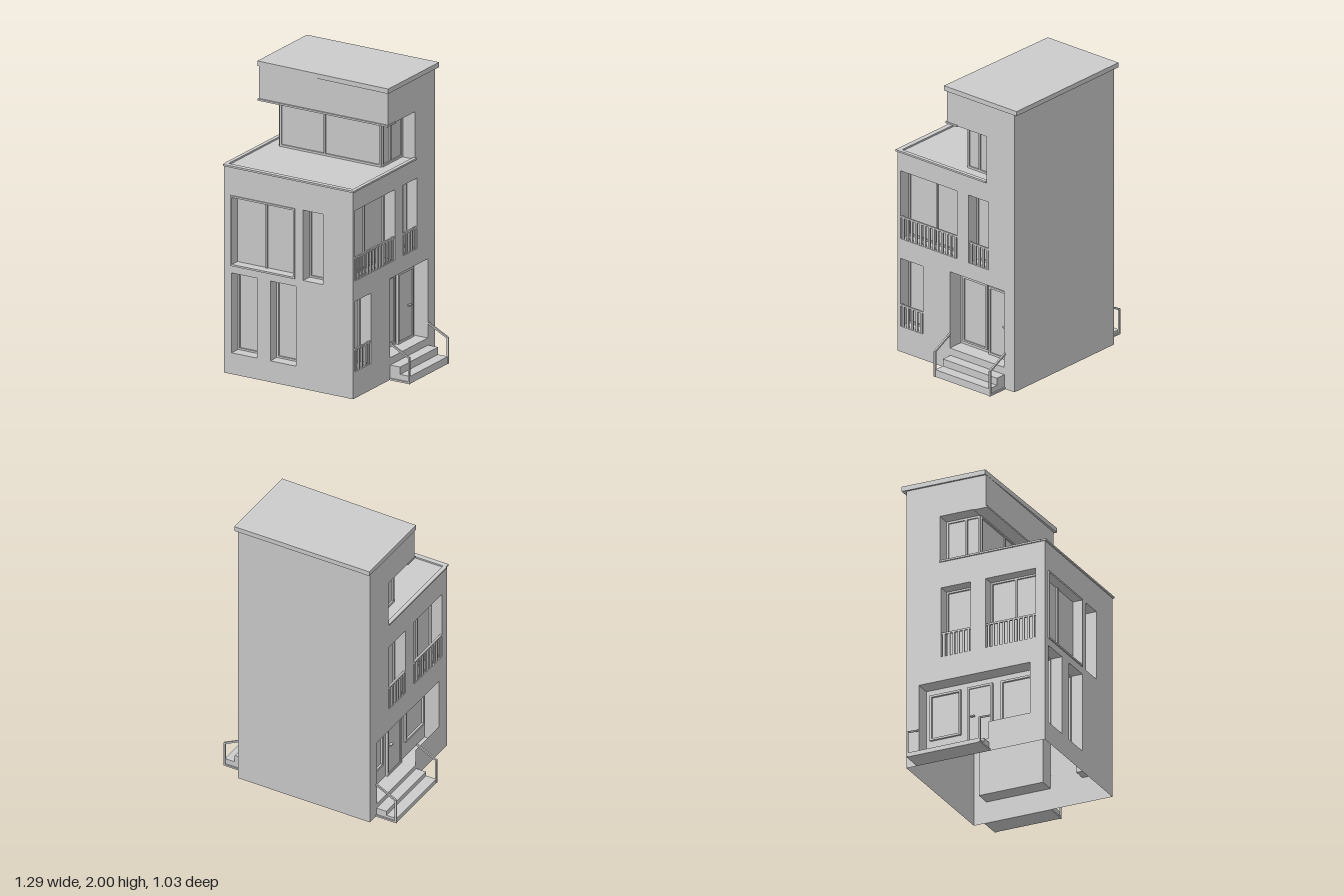
import * as THREE from 'three';

const mat = new THREE.MeshStandardMaterial({ color: 0xcccccc, side: THREE.DoubleSide });

function add(parent, name, geo) {
  const m = new THREE.Mesh(geo, mat);
  m.name = name;
  parent.add(m);
  return m;
}

// Box given by its limits on each axis
function box(parent, name, x0, x1, y0, y1, z0, z1) {
  const m = add(parent, name, new THREE.BoxGeometry(Math.abs(x1 - x0), y1 - y0, Math.abs(z1 - z0)));
  m.position.set((x0 + x1) / 2, (y0 + y1) / 2, (z0 + z1) / 2);
  return m;
}

function bar(parent, name, a, b, r) {
  const A = new THREE.Vector3(...a), B = new THREE.Vector3(...b);
  const m = add(parent, name, new THREE.BoxGeometry(r, A.distanceTo(B), r));
  m.position.copy(A).add(B).multiplyScalar(0.5);
  m.quaternion.setFromUnitVectors(new THREE.Vector3(0, 1, 0), B.sub(A).normalize());
}

const toPoints = pts => pts.map(p => new THREE.Vector2(...p));
const rect = (a, b, c, d) => [[a, c], [b, c], [b, d], [a, d]];

// Flat wall with openings, facing local +z
function wall(parent, name, outline, holes) {
  const s = new THREE.Shape(toPoints(outline));
  holes.forEach(h => s.holes.push(new THREE.Path(toPoints(h))));
  const g = new THREE.Group();
  g.name = name;
  add(g, name + 'Face', new THREE.ShapeGeometry(s));
  parent.add(g);
  return g;
}

// Box open to the front: jambs and back of an opening
function recess(parent, name, u0, u1, v0, v1, d) {
  const m = box(parent, name, u0, u1, v0, v1, -d, 0);
  const idx = Array.from(m.geometry.index.array);
  m.geometry.setIndex(idx.filter((_, i) => i < 24 || i >= 30));
  m.geometry.clearGroups();
}

function frame(parent, name, u0, u1, v0, v1, w, z0, z1) {
  box(parent, name, u0, u0 + w, v0, v1, z0, z1);
  box(parent, name, u1 - w, u1, v0, v1, z0, z1);
  box(parent, name, u0 + w, u1 - w, v0, v0 + w, z0, z1);
  box(parent, name, u0 + w, u1 - w, v1 - w, v1, z0, z1);
}

function windowUnit(parent, [u0, u1, v0, v1], { d = 0.09, rail = 0, mullion } = {}) {
  recess(parent, 'windowRecess', u0, u1, v0, v1, d);
  frame(parent, 'windowFrame', u0, u1, v0, v1, 0.012, -d, -d + 0.012);
  if (mullion !== undefined) box(parent, 'mullion', mullion - 0.006, mullion + 0.006, v0, v1, -d, -d + 0.012);
  if (rail) {
    box(parent, 'handrail', u0, u1, v0 + rail - 0.012, v0 + rail, -0.014, -0.002);
    const n = Math.round((u1 - u0) / 0.037);
    for (let i = 0; i < n; i++) {
      const u = u0 + (u1 - u0) * (i + 0.5) / n;
      box(parent, 'baluster', u - 0.008, u + 0.008, v0, v0 + rail - 0.012, -0.013, -0.003);
    }
  }
}

// Door leaf with a raised edge and a handle
function door(parent, u0, u1, v0, v1, z, handleU) {
  box(parent, 'door', u0, u1, v0, v1, z, z + 0.01);
  frame(parent, 'doorFrame', u0, u1, v0, v1, 0.014, z, z + 0.018);
  box(parent, 'doorHandle', handleU - 0.015, handleU + 0.015, v0 + 0.225, v0 + 0.233, z + 0.01, z + 0.028);
}

// Two steps and a railing on each end
function stairs(parent, s, rise, z0, z1) {
  const g = new THREE.Group();
  g.name = s > 0 ? 'leftStairs' : 'rightStairs';
  parent.add(g);
  box(g, 'lowerStep', s * 0.49, s * 0.64, 0, rise, z0, z1);
  box(g, 'upperStep', s * 0.49, s * 0.565, rise, 2 * rise, z0, z1);
  for (const z of [z0 - 0.004, z1 + 0.004]) {
    bar(g, 'railPost', [s * 0.638, 0, z], [s * 0.638, 0.178, z], 0.012);
    bar(g, 'slopingRail', [s * 0.64, 0.175, z], [s * 0.49, 0.25, z], 0.012);
    bar(g, 'bottomRail', [s * 0.49, 0.006, z], [s * 0.644, 0.006, z], 0.012);
  }
}

export function createModel() {
  const house = new THREE.Group();
  house.name = 'house';

  // Front wall: one wide framed window and three narrow ones
  const wide = [-0.44, 0.05, 0.74, 1.22];
  const narrow = [[0.11, 0.26, 0.74, 1.22], [-0.435, -0.24, 0.145, 0.69], [-0.14, 0.055, 0.145, 0.69]];
  const front = wall(house, 'frontWall', rect(-0.49, 0.49, 0, 1.42), [wide, ...narrow].map(r => rect(...r)));
  front.position.z = 0.505;
  windowUnit(front, wide, { d: 0.06, mullion: -0.2 });
  frame(front, 'windowSurround', ...wide, 0.012, -0.06, 0.008);
  narrow.forEach(r => windowUnit(front, r));

  // Back wall
  const back = wall(house, 'backWall', rect(-0.49, 0.49, 0, 1.97), []);
  back.position.z = -0.49;
  back.rotation.y = Math.PI;

  // Side outline, lower body stepping up to the tower; u runs along -s * z
  const outline = s => [[-0.505, 0], [0.49, 0], [0.49, 1.97], [0.25, 1.97], [0.25, 1.42], [-0.505, 1.42]]
    .map(([u, v]) => [s * u, v]);

  // Left wall with balustraded windows and a deep entrance
  const lw = [[-0.48, 0, 0.8, 1.28], [0.1, 0.27, 0.8, 1.28], [-0.48, -0.29, 0.18, 0.66]];
  const entry = [-0.06, 0.4, 0.15, 0.69];
  const left = wall(house, 'leftWall', outline(1), [...lw, entry].map(r => rect(...r)));
  left.position.x = 0.49;
  left.rotation.y = Math.PI / 2;
  windowUnit(left, lw[0], { rail: 0.16, mullion: -0.24 });
  windowUnit(left, lw[1], { rail: 0.15 });
  windowUnit(left, lw[2], { rail: 0.155 });
  recess(left, 'entranceRecess', ...entry, 0.11);
  door(left, 0.19, 0.38, 0.15, 0.63, -0.11, 0.33);
  frame(left, 'entranceSidelight', -0.04, 0.17, 0.17, 0.63, 0.012, -0.11, -0.1);

  // Right wall with a wide, L-shaped entrance opening
  const rw = [[-0.24, -0.03, 0.74, 1.23], [0.08, 0.44, 0.74, 1.23]];
  const porch = [[-0.4, 0.09], [0.1, 0.09], [0.1, 0.21], [0.4, 0.21], [0.4, 0.57], [-0.4, 0.57]];
  const right = wall(house, 'rightWall', outline(-1), [...rw.map(r => rect(...r)), porch]);
  right.position.x = -0.49;
  right.rotation.y = -Math.PI / 2;
  windowUnit(right, rw[0], { rail: 0.17 });
  windowUnit(right, rw[1], { rail: 0.17, mullion: 0.26 });
  recess(right, 'porchRecess', -0.4, 0.4, 0.09, 0.57, 0.11);
  door(right, -0.1, 0.08, 0.09, 0.53, -0.11, -0.06);
  frame(right, 'porchWindow', 0.14, 0.38, 0.21, 0.53, 0.014, -0.11, -0.095);
  frame(right, 'porchWindow', -0.37, -0.15, 0.21, 0.53, 0.014, -0.11, -0.095);

  stairs(house, 1, 0.05, -0.405, 0.055);
  stairs(house, -1, 0.03, -0.405, 0.105);

  // Roof terrace with a low rim
  box(house, 'terraceDeck', -0.49, 0.49, 1.4, 1.413, -0.25, 0.505);
  box(house, 'terraceRim', -0.495, 0.5, 1.412, 1.424, 0.48, 0.515);
  for (const s of [-1, 1]) box(house, 'terraceRim', s * 0.472, s * 0.499, 1.412, 1.424, -0.25, 0.48);

  // Glazed top room, set back from the sides
  box(house, 'topRoom', -0.385, 0.385, 1.41, 1.74, -0.25, -0.008);
  box(house, 'towerReturnWall', -0.489, 0.489, 1.41, 1.745, -0.256, -0.25);
  const glazing = new THREE.Group();
  glazing.name = 'topRoomGlazing';
  house.add(glazing);
  frame(glazing, 'glazingFrame', -0.385, 0.385, 1.415, 1.738, 0.014, -0.008, 0.002);
  box(glazing, 'mullion', -0.05, -0.038, 1.42, 1.738, -0.008, 0.002);
  for (const s of [-1, 1]) {
    const side = new THREE.Group();
    side.name = 'sideGlazing';
    side.position.x = s * 0.385;
    side.rotation.y = s * Math.PI / 2;
    glazing.add(side);
    const u = s > 0 ? [0.008, 0.25] : [-0.25, -0.008];
    frame(side, 'glazingFrame', ...u, 1.415, 1.738, 0.014, 0, 0.01);
    box(side, 'mullion', s * 0.1, s * 0.114, 1.42, 1.738, 0, 0.01);
  }

  // Overhanging header, trim and slightly skewed roof slab
  box(house, 'header', -0.49, 0.49, 1.74, 1.97, -0.25, 0.083);
  box(house, 'headerTrim', -0.494, 0.495, 1.734, 1.746, -0.005, 0.094);
  const slab = new THREE.Shape(toPoints([[-0.503, 0.518], [0.503, 0.518], [0.503, -0.1], [-0.503, -0.083]]));
  const roof = add(house, 'roofSlab', new THREE.ExtrudeGeometry(slab, { depth: 0.033, bevelEnabled: false }));
  roof.rotation.x = -Math.PI / 2;
  roof.position.y = 1.967;

  return house;
}
